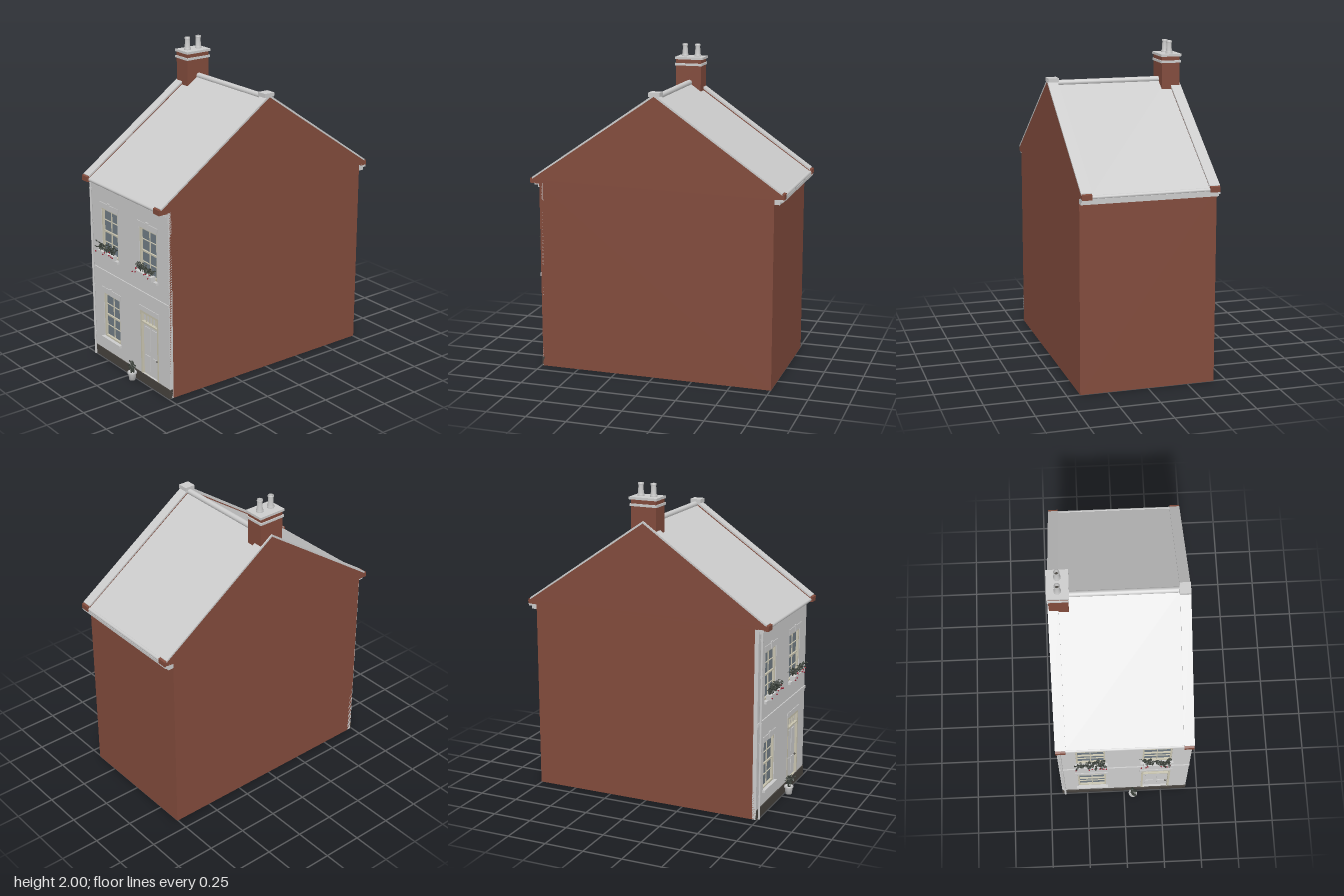
import * as THREE from 'three';
import { mergeGeometries } from 'three/addons/utils/BufferGeometryUtils.js';

const mat = (color) => new THREE.MeshStandardMaterial({ color, side: THREE.DoubleSide });
const stone = mat(0xcccccc), brick = mat(0x824b3c), dark = mat(0x46423d), glass = mat(0x717c85);
const cream = mat(0xc8c4b0), leafMat = mat(0x3c423b), flowerMat = mat(0x9a2436), curtainMat = mat(0x9a9c80);

const W = 0.42, ZF = 0.74, ZB = -0.755, ZR = -0.01; // half width, front, back, ridge

function add(parent, name, geo, material, x = 0, y = 0, z = 0) {
  const m = new THREE.Mesh(geo, material);
  m.name = name;
  m.position.set(x, y, z);
  parent.add(m);
  return m;
}
// box given by its limits
const box = (p, name, m, x0, x1, y0, y1, z0, z1) =>
  add(p, name, new THREE.BoxGeometry(x1 - x0, y1 - y0, z1 - z0), m, (x0 + x1) / 2, (y0 + y1) / 2, (z0 + z1) / 2);
const polygon = (pts) => new THREE.Shape(pts.map(([a, b]) => new THREE.Vector2(a, b)));
// outline in (z, y), swept along x
function sweepX(p, name, m, pts, x0, x1) {
  const s = polygon(pts.map(([z, y]) => [-z, y]));
  const g = x0 === x1 ? new THREE.ShapeGeometry(s) : new THREE.ExtrudeGeometry(s, { depth: x1 - x0, bevelEnabled: false });
  return add(p, name, g.rotateY(Math.PI / 2), m, x0);
}
function group(parent, name, x = 0, y = 0, z = 0) {
  const g = new THREE.Group();
  g.name = name;
  g.position.set(x, y, z);
  parent.add(g);
  return g;
}
const rectPath = (x0, x1, y0, y1) => polygon([[x0, y0], [x0, y1], [x1, y1], [x1, y0]]);

function makeRandom(seed) {
  return () => (seed = (seed * 16807) % 2147483647) / 2147483647;
}

// stems with leaves, and optional flowers, filling a width
function plant(parent, seed, width, height, count, flowers) {
  const rnd = makeRandom(seed), leaves = [], blooms = [];
  for (let i = 0; i < count; i++) {
    const x0 = (rnd() - 0.5) * width * 0.75, z0 = (rnd() - 0.5) * 0.02;
    const tip = new THREE.Vector3((rnd() - 0.5) * 0.05 + x0 * 1.2, height * (0.45 + 0.55 * rnd()), (rnd() - 0.4) * 0.055);
    const curve = new THREE.QuadraticBezierCurve3(new THREE.Vector3(x0, 0, z0), new THREE.Vector3(x0, tip.y * 0.7, z0), tip);
    leaves.push(new THREE.TubeGeometry(curve, 4, 0.0015, 4));
    for (let k = 0; k < 4; k++) {
      const p = curve.getPoint(0.4 + 0.2 * k);
      const leaf = new THREE.SphereGeometry(0.011, 6, 4).scale(1, 0.25, 0.6);
      leaf.rotateZ((rnd() - 0.5) * 2).rotateY(rnd() * 6.28);
      leaves.push(leaf.translate(p.x + (rnd() - 0.5) * 0.014, p.y, p.z + (rnd() - 0.5) * 0.014));
    }
    if (flowers && i % 3 === 0) {
      blooms.push(new THREE.SphereGeometry(0.005, 6, 4).translate(tip.x, tip.y * 0.8 - 0.01 - rnd() * 0.035, 0.024));
    }
  }
  add(parent, 'foliage', mergeGeometries(leaves), leafMat);
  if (flowers) add(parent, 'flowers', mergeGeometries(blooms), flowerMat);
}

// sash window, origin at the bottom middle of the opening
function sashWindow(parent, x, y) {
  const g = group(parent, 'sashWindow', x, y, ZF), w = 0.0925, h = 0.305;
  const frame = rectPath(-w, w, 0, h);
  frame.holes.push(rectPath(-w + 0.011, w - 0.011, 0.011, h - 0.011));
  add(g, 'windowFrame', new THREE.ExtrudeGeometry(frame, { depth: 0.02, bevelEnabled: false }), cream, 0, 0, -0.025);
  box(g, 'glass', glass, -w, w, 0, h, -0.022, -0.02);
  box(g, 'meetingRail', cream, -w, w, 0.147, 0.157, -0.022, -0.01);
  box(g, 'verticalBar', cream, -0.003, 0.003, 0, h, -0.022, -0.014);
  for (const b of [0.08, 0.225]) box(g, 'glazingBar', cream, -w, w, b - 0.002, b + 0.002, -0.022, -0.014);
  box(g, 'sill', stone, -w - 0.012, w + 0.012, -0.016, 0, -0.02, 0.018);
  add(g, 'lintel', new THREE.ExtrudeGeometry(polygon([[-w - 0.008, h], [w + 0.008, h], [w + 0.016, h + 0.036], [-w - 0.016, h + 0.036]]),
    { depth: 0.004, bevelEnabled: false }), stone);
  add(g, 'keystone', new THREE.ExtrudeGeometry(polygon([[-0.008, h], [0.008, h], [0.012, h + 0.046], [-0.012, h + 0.046]]),
    { depth: 0.008, bevelEnabled: false }), stone);
  // pleated curtain inside
  const c = new THREE.PlaneGeometry(2 * w, h, 40, 1), p = c.attributes.position;
  for (let i = 0; i < p.count; i++) p.setZ(i, 0.004 * Math.sin(p.getX(i) * 220));
  c.computeVertexNormals();
  add(g, 'curtain', c, curtainMat, 0, h / 2, -0.034);
}

function flowerBox(parent, x, seed) {
  const g = group(parent, 'flowerBox', x, 0.73, ZF + 0.024);
  box(g, 'planter', stone, -0.085, 0.085, 0, 0.03, -0.018, 0.016);
  const pl = group(g, 'boxPlants', 0, 0.025, 0);
  plant(pl, seed, 0.19, 0.06, 22, true);
}

export function createModel() {
  const house = new THREE.Group();
  house.name = 'townHouse';

  // front wall with openings
  const windows = [[-0.2125, 0.155], [-0.2125, 0.725], [0.2075, 0.725]];
  const wall = rectPath(-W, W, 0, 1.195);
  for (const [x, y] of windows) wall.holes.push(rectPath(x - 0.0925, x + 0.0925, y, y + 0.305));
  wall.holes.push(rectPath(0.113, 0.303, 0.06, 0.485));
  add(house, 'frontWall', new THREE.ExtrudeGeometry(wall, { depth: 0.025, bevelEnabled: false }), stone, 0, 0, ZF - 0.025);
  for (const [x, y] of windows) sashWindow(house, x, y);
  flowerBox(house, -0.2125, 11);
  flowerBox(house, 0.2075, 77);
  box(house, 'plinth', dark, -W, W, 0, 0.06, ZF - 0.02, ZF + 0.006);
  box(house, 'stringCourse', stone, -W, W, 0.595, 0.615, ZF, ZF + 0.007);

  // front door with fanlight
  const door = group(house, 'frontDoor', 0.208, 0.06, ZF);
  const frame = rectPath(-0.095, 0.095, 0, 0.425);
  frame.holes.push(rectPath(-0.082, 0.082, 0, 0.345), rectPath(-0.082, 0.082, 0.355, 0.41));
  add(door, 'doorFrame', new THREE.ExtrudeGeometry(frame, { depth: 0.024, bevelEnabled: false }), cream, 0, 0, -0.022);
  box(door, 'doorLeaf', stone, -0.083, 0.083, 0, 0.346, -0.022, -0.014);
  for (const s of [-1, 1]) for (const [y0, y1] of [[0.03, 0.13], [0.165, 0.32]]) {
    box(door, 'doorPanel', stone, s * 0.039 - 0.027, s * 0.039 + 0.027, y0, y1, -0.014, -0.01);
  }
  add(door, 'doorKnob', new THREE.SphereGeometry(0.006, 12, 8), dark, 0.069, 0.13, -0.006);
  box(door, 'fanlight', stone, -0.083, 0.083, 0.354, 0.411, -0.02, -0.018);
  for (let i = 1; i < 5; i++) box(door, 'fanlightBar', cream, -0.0835 + i * 0.033, -0.0795 + i * 0.033, 0.355, 0.41, -0.018, -0.01);
  box(door, 'doorHead', stone, -0.106, 0.106, 0.425, 0.457, 0, 0.004);

  // brick back wall and side walls, open underneath
  add(house, 'backWall', new THREE.PlaneGeometry(2 * W, 1.2).rotateY(Math.PI), brick, 0, 0.6, ZB);
  const gable = [[ZF, 0], [ZB, 0], [ZB, 1.19], [-0.815, 1.192], [-0.815, 1.213], [ZR, 1.768], [0.8, 1.213], [0.8, 1.192], [ZF, 1.19]];
  const parapet = [[0.8, 1.19], [0.8, 1.222], [0.787, 1.226], [ZR, 1.768], [-0.802, 1.226], [-0.815, 1.222],
    [-0.815, 1.19], [-0.76, 1.19], [ZR, 1.7], [ZF, 1.19]];
  const coping = [[0.787, 1.218], [0.787, 1.23], [ZR, 1.78], [-0.802, 1.23], [-0.802, 1.218], [ZR, 1.766]];
  for (const s of [-1, 1]) {
    sweepX(house, 'sideWall', brick, gable, s * W, s * W);
    const x0 = s < 0 ? -W : 0.358;
    sweepX(house, 'gableParapet', brick, parapet, x0 + 0.001, x0 + 0.061);
    sweepX(house, 'gableCoping', stone, coping, x0 - 0.001, x0 + 0.063);
  }
  box(house, 'ridgeBlock', stone, 0.353, 0.42, 1.765, 1.79, -0.045, 0.025);

  // roof slopes and ridge tiles
  sweepX(house, 'roofSlopes', stone, [[0.785, 1.205], [0.785, 1.213], [ZR, 1.757], [-0.8, 1.213], [-0.8, 1.205], [ZR, 1.747]], -0.36, 0.36);
  add(house, 'ridgeTiles', new THREE.CylinderGeometry(0.018, 0.018, 0.72, 16).rotateZ(Math.PI / 2), stone, 0, 1.757, ZR - 0.003);

  // eaves: dentils, gutters and back cornice
  box(house, 'frontCornice', stone, -W, W, 1.183, 1.197, ZF - 0.01, 0.772);
  for (let i = 0; i < 21; i++) {
    const x = -0.4 + i * 0.04;
    box(house, 'dentil', stone, x - 0.009, x + 0.009, 1.166, 1.184, ZF, 0.752);
  }
  for (const z of [0.78, -0.8]) {
    add(house, 'gutter', new THREE.CylinderGeometry(0.012, 0.012, 0.72, 12, 1, false).rotateZ(Math.PI / 2), stone, 0, 1.204, z);
  }
  box(house, 'backCorniceLower', stone, -W, W, 1.16, 1.18, -0.79, ZB);
  box(house, 'backCorniceUpper', stone, -W, W, 1.178, 1.197, -0.812, ZB);

  // downpipe with brackets
  add(house, 'downpipe', new THREE.CylinderGeometry(0.007, 0.007, 1.19, 12), stone, -0.4, 0.595, ZF + 0.013);
  for (const y of [0.15, 0.48, 0.61, 0.9, 1.13]) {
    add(house, 'pipeCollar', new THREE.CylinderGeometry(0.009, 0.009, 0.014, 12), stone, -0.4, y, ZF + 0.012);
  }

  // chimney
  const chimney = group(house, 'chimney', -0.355, 0, ZR);
  box(chimney, 'chimneyStack', brick, -0.058, 0.058, 1.695, 1.91, -0.08, 0.085);
  box(chimney, 'chimneyBand', stone, -0.064, 0.064, 1.865, 1.88, -0.087, 0.092);
  box(chimney, 'chimneyCap', stone, -0.066, 0.066, 1.905, 1.92, -0.092, 0.092);
  const potProfile = [[0.0215, 0], [0.0215, 0.012], [0.018, 0.016], [0.015, 0.066], [0.018, 0.068], [0.018, 0.08], [0.013, 0.08], [0.013, 0.02]]
    .map(([r, y]) => new THREE.Vector2(r, y));
  for (const z of [-0.042, 0.042]) {
    add(chimney, 'chimneyPot', new THREE.LatheGeometry(potProfile, 20), stone, 0, 1.92, z);
    add(chimney, 'potFlue', new THREE.CircleGeometry(0.0135, 20).rotateX(-Math.PI / 2), dark, 0, 1.97, z);
  }

  // potted plant beside the door
  const pot = group(house, 'pottedPlant', 0.06, 0, 0.777);
  const potShape = [[0, 0], [0.02, 0], [0.025, 0.042], [0.029, 0.042], [0.029, 0.054], [0.024, 0.054], [0.023, 0.046], [0, 0.046]]
    .map(([r, y]) => new THREE.Vector2(r, y));
  add(pot, 'pot', new THREE.LatheGeometry(potShape, 20), stone);
  plant(group(pot, 'potPlant', 0, 0.046, 0), 5, 0.03, 0.09, 12, false);

  return house;
}
